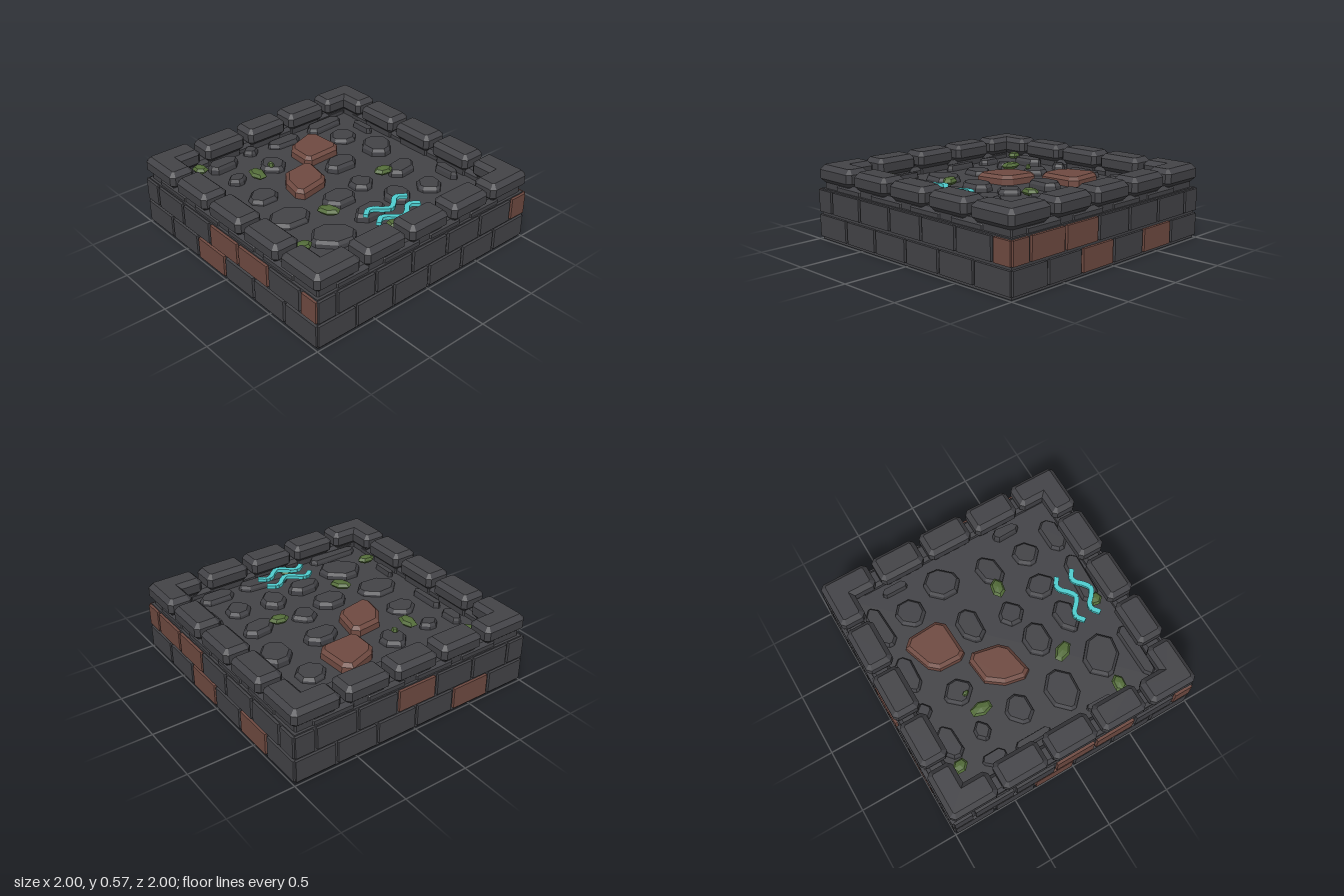
import * as THREE from 'three';

const mat = (name, color) => {
  const m = new THREE.MeshStandardMaterial({ color });
  m.name = name;
  return m;
};

let seed = 7;
const rand = () => (seed = (seed * 16807) % 2147483647) / 2147483647;

// Moves every edge of a polygon inward by d
function inset(pts, d) {
  const n = pts.length;
  const normal = (a, b) => new THREE.Vector2(a.y - b.y, b.x - a.x).normalize();
  return pts.map((p, i) => {
    const n1 = normal(pts[(i + n - 1) % n], p), n2 = normal(p, pts[(i + 1) % n]);
    const k = d / (1 + n1.dot(n2));
    return new THREE.Vector2(p.x + (n1.x + n2.x) * k, p.y + (n1.y + n2.y) * k);
  });
}

// Cuts each corner of a polygon by length c
function cutCorners(pts, c) {
  const n = pts.length;
  return pts.flatMap((p, i) => [pts[(i + n - 1) % n], pts[(i + 1) % n]].map((q) => {
    const dir = q.clone().sub(p), len = dir.length();
    return p.clone().addScaledVector(dir, Math.min(c, len * 0.4) / len);
  }));
}

// Faceted stone: an x/z outline stacked through [height, inset] layers
function stoneGeometry(outline, layers) {
  const pts = THREE.ShapeUtils.area(outline) < 0 ? outline.slice().reverse() : outline;
  const n = pts.length, pos = [];
  const rings = layers.map(([y, d]) => inset(pts, d).map((p) => [p.x, y, p.y]));
  for (let r = 0; r + 1 < rings.length; r++) {
    for (let i = 0; i < n; i++) {
      const j = (i + 1) % n, lo = rings[r], hi = rings[r + 1];
      pos.push(...lo[i], ...hi[j], ...lo[j], ...lo[i], ...hi[i], ...hi[j]);
    }
  }
  const caps = [[rings[0], false], [rings[rings.length - 1], true]];
  for (const [ring, up] of caps) {
    const flat = ring.map((p) => new THREE.Vector2(p[0], p[2]));
    for (const [a, b, c] of THREE.ShapeUtils.triangulateShape(flat, [])) {
      pos.push(...ring[a], ...ring[up ? c : b], ...ring[up ? b : c]);
    }
  }
  const g = new THREE.BufferGeometry();
  g.setAttribute('position', new THREE.Float32BufferAttribute(pos, 3));
  g.computeVertexNormals();
  return g;
}

const poly = (...c) => c.map(([x, z]) => new THREE.Vector2(x, z));
const rect = (x0, z0, x1, z1) => poly([x0, z0], [x1, z0], [x1, z1], [x0, z1]);

export function createModel() {
  const stone = mat('dark stone', 0x434347);
  const brickRed = mat('red brick', 0x6f4a41);
  const mossGreen = mat('moss green', 0x536c39);
  const cyan = mat('glowing cyan', 0x4ecdcf);
  const root = new THREE.Group();
  root.name = 'stoneFloorTile';
  const add = (parent, name, geometry, material) => {
    const m = new THREE.Mesh(geometry, material);
    m.name = name;
    parent.add(m);
    return m;
  };
  const group = (name) => {
    const g = new THREE.Group();
    g.name = name;
    root.add(g);
    return g;
  };

  // Solid core under the paving
  add(root, 'core', new THREE.BoxGeometry(1.96, 0.39, 1.96), stone).position.y = 0.195;

  // Two brick courses per wall; red lists count bricks from the wall's own left end
  const walls = [
    { name: 'frontWall', angle: 0, low: [], high: [6] },
    { name: 'rightWall', angle: Math.PI / 2, low: [2, 4], high: [0, 1, 2] },
    { name: 'backWall', angle: Math.PI, low: [4], high: [3] },
    { name: 'leftWall', angle: -Math.PI / 2, low: [2], high: [3, 4, 6] },
  ];
  const pitch = 1.995 / 6;
  for (const w of walls) {
    const wall = group(w.name);
    wall.rotation.y = w.angle;
    for (const [y, count, red, shift] of [[0.108, 6, w.low, 0], [0.298, 7, w.high, pitch / 2]]) {
      for (let i = 0; i < count; i++) {
        const x0 = Math.max(-0.9975 + i * pitch - shift, -0.9975) + 0.0125;
        const x1 = Math.min(-0.9975 + (i + 1) * pitch - shift, 0.9975) - 0.0125;
        const b = add(wall, 'brick', new THREE.BoxGeometry(x1 - x0, 0.165, 0.06),
          red.includes(i) ? brickRed : stone);
        b.position.set((x0 + x1) / 2, y, 0.97);
      }
    }
  }

  // Rim: chamfered blocks with an L-shaped block at each corner
  const rimLayers = [[0.385, 0.034], [0.435, 0.034], [0.468, 0], [0.535, 0], [0.57, 0.034]];
  const rim = group('rim');
  const edge = group('edgeStones');
  for (let s = 0; s < 4; s++) {
    const side = new THREE.Group();
    side.name = 'rimSide';
    side.rotation.y = s * Math.PI / 2;
    rim.add(side);
    for (const x of [-0.4, 0, 0.4]) {
      const block = cutCorners(rect(x - 0.178, 0.785, x + 0.178, 0.995), 0.03);
      add(side, 'rimBlock', stoneGeometry(block, rimLayers), stone);
    }
    const L = poly([0.62, 0.8], [0.8, 0.8], [0.8, 0.62], [0.995, 0.62], [0.995, 0.995], [0.62, 0.995]);
    const corner = L.flatMap((p, i) => (i === 1 ? [p] : cutCorners(L, 0.03).slice(i * 2, i * 2 + 2)));
    add(side, 'cornerBlock', stoneGeometry(corner, rimLayers), stone);

    // Low stones seen in the gaps between rim blocks
    const low = new THREE.Group();
    low.name = 'edgeSide';
    low.rotation.y = s * Math.PI / 2;
    edge.add(low);
    for (const x of [-0.67, -0.24, 0.17, 0.57]) {
      const w = 0.17 + rand() * 0.03;
      add(low, 'edgeStone', stoneGeometry(cutCorners(rect(x - w, 0.83, x + w, 0.97), 0.04),
        [[0.38, 0], [0.42, 0], [0.448, 0.025]]), stone);
    }
  }

  // Irregular paving stones: x0, z0, x1, z1 in hundredths
  const paving = group('paving');
  const slabs = [
    [-62, -81, -32, -64], [-27, -86, -10, -70], [-5, -81, 28, -65], [36, -83, 72, -66],
    [-80, -62, -67, -41], [-62, -58, -43, -40], [-32, -64, -4, -37], [39, -63, 68, -39],
    [5, -27, 37, -5], [-66, -33, -37, -9], [-80, -36, -70, -6], [44, -32, 78, -4],
    [-73, -2, -36, 30], [-30, 7, 2, 30], [1, 2, 30, 27], [36, 6, 67, 29],
    [-70, 37, -28, 72], [-25, 36, 6, 59], [10, 32, 35, 58], [38, 36, 62, 60],
    [68, 32, 80, 57], [40, 64, 71, 82], [-8, 65, 35, 82], [-80, 22, -73, 44],
    [-80, 70, -34, 84], [72, -62, 80, -40],
  ];
  for (const s of slabs) {
    const [x0, z0, x1, z1] = s.map((v) => v / 100);
    const j = Math.min(x1 - x0, z1 - z0) * 0.22;
    const quad = rect(x0, z0, x1, z1);
    const mid = new THREE.Vector2((x0 + x1) / 2, (z0 + z1) / 2);
    quad.forEach((p) => {
      p.x += Math.sign(mid.x - p.x) * rand() * j;
      p.y += Math.sign(mid.y - p.y) * rand() * j;
    });
    const h = 0.425 + rand() * 0.025;
    const bevel = Math.min(0.022, j * 0.45);
    add(paving, 'pavingStone', stoneGeometry(cutCorners(quad, j * 1.3),
      [[0.38, 0], [h - 0.022, 0.004], [h, bevel]]), stone);
  }

  // Two raised red paving stones
  const redStones = [
    poly([0.02, -0.53], [0.08, -0.6], [0.29, -0.67], [0.35, -0.61], [0.365, -0.38], [0.31, -0.32], [0.05, -0.31], [0.015, -0.36]),
    poly([-0.31, -0.18], [-0.22, -0.3], [-0.03, -0.32], [0.02, -0.27], [-0.02, -0.07], [-0.08, -0.01], [-0.3, 0.03], [-0.34, -0.03]),
  ];
  for (const outline of redStones) {
    add(paving, 'redPavingStone', stoneGeometry(outline, [[0.38, 0], [0.435, 0.004], [0.46, 0.03]]), brickRed);
  }

  // Moss clumps: x, z, half width, half depth, turn
  const moss = group('moss');
  const clump = new THREE.SphereGeometry(1, 6, 4).toNonIndexed();
  clump.computeVertexNormals();
  const clumps = [
    [-0.67, -0.755, 0.05, 0.065, 0.4], [-0.385, -0.42, 0.055, 0.09, 0], [-0.23, -0.46, 0.02, 0.028, 0.3],
    [0.36, 0.15, 0.08, 0.055, -0.2], [-0.31, 0.305, 0.055, 0.09, 0.6], [-0.725, 0.525, 0.075, 0.05, -0.1],
    [-0.08, 0.725, 0.055, 0.06, 0.3],
  ];
  for (const [x, z, rx, rz, turn] of clumps) {
    const m = add(moss, 'mossClump', clump, mossGreen);
    m.position.set(x, 0.44, z);
    m.scale.set(rx, 0.03, rz);
    m.rotation.y = turn;
  }

  // Two wavy lines made of short overlapping bars
  const waves = group('waveMarks');
  const half = [[0, 0.607], [0.05, 0.58], [0.1, 0.535], [0.14, 0.525], [0.19, 0.558]];
  const path = [...half.slice(1).reverse().map(([x, z]) => [-x, z]), ...half];
  const curve = new THREE.CatmullRomCurve3(path.map(([x, z]) => new THREE.Vector3(x, 0.471, z)));
  const bar = new THREE.BoxGeometry(0.024, 0.026, 0.036);
  for (const dz of [0, 0.13]) {
    for (let i = 0; i <= 22; i++) {
      const m = add(waves, 'waveBar', bar, cyan);
      const t = curve.getTangentAt(i / 22);
      m.position.copy(curve.getPointAt(i / 22));
      m.position.z += dz;
      m.rotation.y = Math.atan2(-t.z, t.x);
    }
  }
  return root;
}
